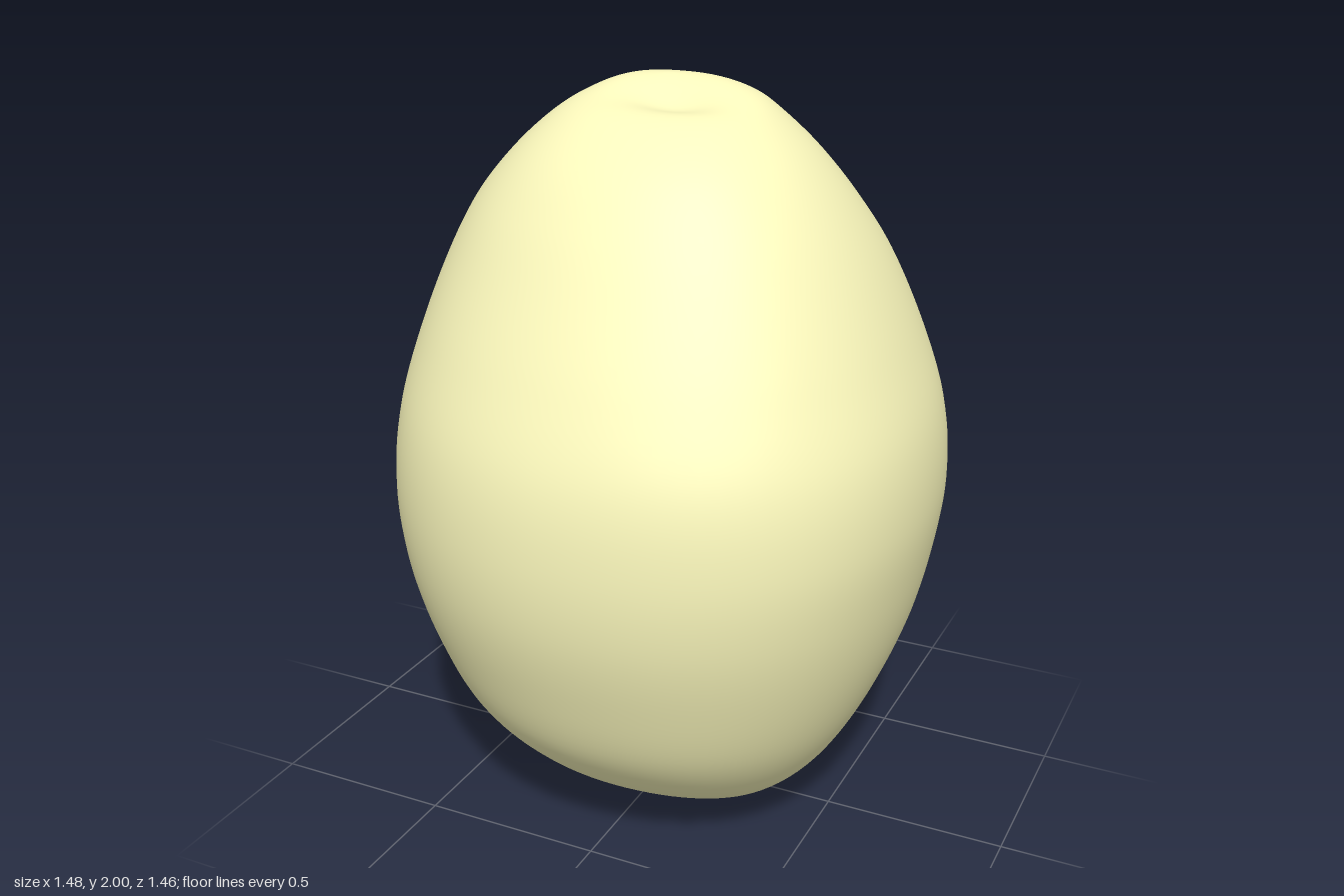
import * as THREE from 'three';
import { mergeVertices } from 'three/addons/utils/BufferGeometryUtils.js';

// Cross-sections from bottom to top: y, left edge, right edge, front edge, back edge
const sections = [
  [0, 0.13, 0.13, 0, 0],
  [0.005, 0.04, 0.20, 0.06, -0.06],
  [0.02, -0.05, 0.27, 0.12, -0.12],
  [0.05, -0.18, 0.34, 0.2, -0.22],
  [0.1, -0.31, 0.41, 0.31, -0.33],
  [0.2, -0.46, 0.5, 0.45, -0.47],
  [0.35, -0.58, 0.585, 0.575, -0.585],
  [0.55, -0.67, 0.665, 0.66, -0.675],
  [0.75, -0.72, 0.715, 0.715, -0.715],
  [0.95, -0.74, 0.74, 0.73, -0.73],
  [1.15, -0.72, 0.722, 0.705, -0.708],
  [1.35, -0.67, 0.655, 0.625, -0.656],
  [1.55, -0.597, 0.565, 0.52, -0.568],
  [1.7, -0.517, 0.475, 0.43, -0.465],
  [1.82, -0.42, 0.378, 0.335, -0.375],
  [1.91, -0.325, 0.275, 0.22, -0.3],
  [1.96, -0.25, 0.19, 0.1, -0.25],
  [1.99, -0.17, 0.08, -0.01, -0.19],
  [2.0, -0.06, -0.06, -0.12, -0.12],
];

// How far each rounded corner swells beyond an ellipse
const corners = { backLeft: 0.04, backRight: 0.05, frontLeft: 0.012, frontRight: 0.04 };

// Shallow hollow in the back
const hollow = { at: new THREE.Vector3(-0.2, 1.3, -0.64), radius: 0.22, depth: 0.015 };

function swell(c, s) {
  const side = c > 0 ? 'Right' : 'Left';
  return 1 + Math.sin(2 * Math.atan2(s, c)) ** 2 * corners[(s < 0 ? 'back' : 'front') + side];
}

function fruitGeometry(rings = 120, sides = 96) {
  const spline = new THREE.CubicInterpolant(
    sections.map((_, i) => i), sections.flat(), 5);
  const p = new THREE.Vector3();
  const positions = [], indices = [];

  for (let j = 0; j <= rings; j++) {
    const [y, left, right, front, back] = spline.evaluate(j / rings * (sections.length - 1));
    for (let i = 0; i < sides; i++) {
      const a = i / sides * Math.PI * 2, c = Math.cos(a), s = Math.sin(a);
      const w = swell(c, s);
      p.set((left + right) / 2 + (right - left) / 2 * c * w, y,
        (front + back) / 2 + (front - back) / 2 * s * w);

      // Hollow in the back
      const k = 1 - hollow.depth * Math.exp(-p.distanceToSquared(hollow.at) / hollow.radius ** 2);
      p.x *= k;
      p.z *= k;

      // Dimple on top, just in front of the peak
      if (y > 1.7) {
        p.y -= 0.05 * Math.exp(-(((p.x - 0.02) / 0.14) ** 2) - ((p.z - 0.02) / 0.09) ** 2);
      }
      positions.push(p.x, p.y, p.z);

      const n = (i + 1) % sides, row = j * sides, up = row + sides;
      if (j > 0 && j < rings) indices.push(row + i, up + i, row + n);
      if (j < rings - 1) indices.push(row + n, up + i, up + n);
    }
  }
  const geometry = new THREE.BufferGeometry();
  geometry.setAttribute('position', new THREE.Float32BufferAttribute(positions, 3));
  geometry.setIndex(indices);
  const merged = mergeVertices(geometry, 1e-5); // closes both poles
  merged.computeVertexNormals();
  return merged;
}

export function createModel() {
  const group = new THREE.Group();
  group.name = 'fruit';
  const body = new THREE.Mesh(fruitGeometry(), new THREE.MeshStandardMaterial({ color: 0xfcf9bd }));
  body.name = 'fruitBody';
  group.add(body);
  return group;
}
